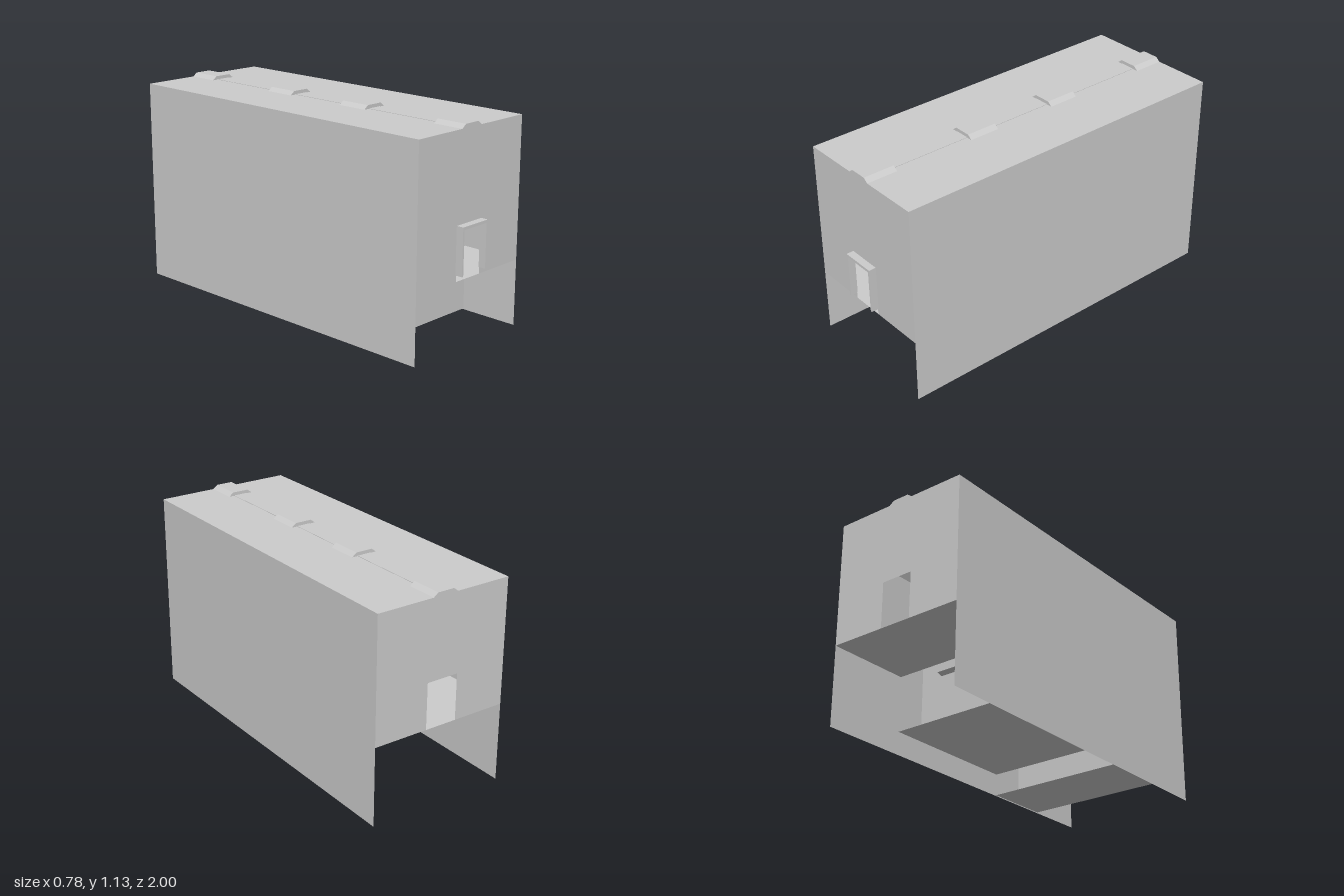
import * as THREE from 'three';

export function createModel() {
  const model = new THREE.Group();
  const material = new THREE.MeshStandardMaterial({ color: 0xcccccc, side: THREE.DoubleSide, flatShading: true });

  const W = 0.39, ROOF = 1.115, FRONT = 0.96, BACK = -1, MID = -0.005;
  const FRONT_DECK = 0.36, BACK_DECK = 0.435, MID_DECK = 0.13, LOW_DECK = 0.01;
  const STEP_BACK = -0.53, STEP_FRONT = 0.26, BULKHEAD = 0.63;

  function add(name, geometry, x = 0, y = 0, z = 0) {
    const mesh = new THREE.Mesh(geometry, material);
    mesh.name = name;
    mesh.position.set(x, y, z);
    model.add(mesh);
    return mesh;
  }

  function polygon(points) {
    return new THREE.Shape(points.map(([x, y]) => new THREE.Vector2(x, y)));
  }

  // Flat horizontal sheet spanning the width
  function deck(name, y, z0, z1) {
    add(name, new THREE.PlaneGeometry(2 * W, z1 - z0), 0, y, (z0 + z1) / 2).rotation.x = -Math.PI / 2;
  }

  // Upright sheet facing front
  function upright(name, halfWidth, y0, y1, z) {
    add(name, new THREE.PlaneGeometry(2 * halfWidth, y1 - y0), 0, (y0 + y1) / 2, z);
  }

  // End wall with a doorway cut up from its lower edge
  function endWall(name, y0, doorTop, z) {
    const l = MID - 0.09, r = MID + 0.09;
    add(name, new THREE.ShapeGeometry(polygon([
      [-W, y0], [l, y0], [l, doorTop], [r, doorTop], [r, y0], [W, y0], [W, ROOF], [-W, ROOF],
    ])), 0, 0, z);
  }

  // Outer shell
  for (const side of [-1, 1]) {
    const wall = add(side > 0 ? 'leftWall' : 'rightWall', new THREE.PlaneGeometry(FRONT - BACK, ROOF - 0.005),
      side * W, (ROOF + 0.005) / 2, (FRONT + BACK) / 2);
    wall.rotation.y = side * Math.PI / 2;

    // Sloping cove where wall meets roof
    const dx = 0.035, dy = 0.105;
    const cove = add(side > 0 ? 'leftCove' : 'rightCove', new THREE.PlaneGeometry(Math.hypot(dx, dy), FRONT - BACK),
      side * (W - dx / 2 - 0.001), ROOF - dy / 2 - 0.001, (FRONT + BACK) / 2);
    cove.rotation.order = 'ZXY';
    cove.rotation.set(-Math.PI / 2, 0, -side * Math.atan2(dy, dx));
  }
  deck('roof', ROOF, BACK, FRONT);
  endWall('frontWall', FRONT_DECK, 0.63, FRONT);
  endWall('backWall', BACK_DECK, 0.685, BACK);

  // Stepped floors
  deck('frontPlatform', FRONT_DECK, BULKHEAD, FRONT);
  deck('lowFloor', LOW_DECK, STEP_FRONT, BULKHEAD);
  deck('middleFloor', MID_DECK, STEP_BACK, STEP_FRONT);
  deck('backPlatform', BACK_DECK, BACK, STEP_BACK);

  // Bulkhead and risers between floors
  upright('frontBulkhead', W, LOW_DECK, FRONT_DECK, BULKHEAD);
  upright('frontRiser', 0.235, LOW_DECK, MID_DECK, STEP_FRONT);
  upright('backRiser', 0.235, MID_DECK, BACK_DECK, STEP_BACK);

  // Doorway surround on the front wall
  const frame = polygon([
    [-0.095, 0.395], [-0.085, 0.395], [-0.085, 0.63], [0.085, 0.63],
    [0.085, 0.395], [0.095, 0.395], [0.095, 0.645], [-0.095, 0.645],
  ]);
  add('doorFrame', new THREE.ExtrudeGeometry(frame, { depth: 1 - FRONT, bevelEnabled: false }), MID, 0, FRONT);

  // Tapered buffer plates, narrower on the outward face
  function bufferPlate(name, y, z, facing) {
    const geometry = new THREE.BoxGeometry(0.23, 0.038, 0.04);
    const p = geometry.attributes.position;
    for (let i = 0; i < p.count; i++) {
      if (p.getZ(i) > 0) p.setXY(i, p.getX(i) * 0.92, p.getY(i) * 0.75);
    }
    geometry.computeVertexNormals();
    add(name, geometry, MID, y, z + facing * 0.02).rotation.y = facing > 0 ? 0 : Math.PI;
  }
  bufferPlate('frontBuffer', 0.262, BULKHEAD, 1);
  bufferPlate('backBuffer', 0.38, STEP_BACK, -1);

  // Roof ridge strip and its four trapezoid clamps
  add('roofRidge', new THREE.BoxGeometry(0.08, 0.004, FRONT - BACK), MID, ROOF, (FRONT + BACK) / 2);
  const clamp = polygon([[-0.073, 0], [0.073, 0], [0.047, 0.02], [-0.047, 0.02]]);
  for (const z of [-1, -0.372, 0.16, 0.787]) {
    add('roofClamp', new THREE.ExtrudeGeometry(clamp, { depth: 0.173, bevelEnabled: false }), MID, ROOF, z);
  }

  return model;
}
